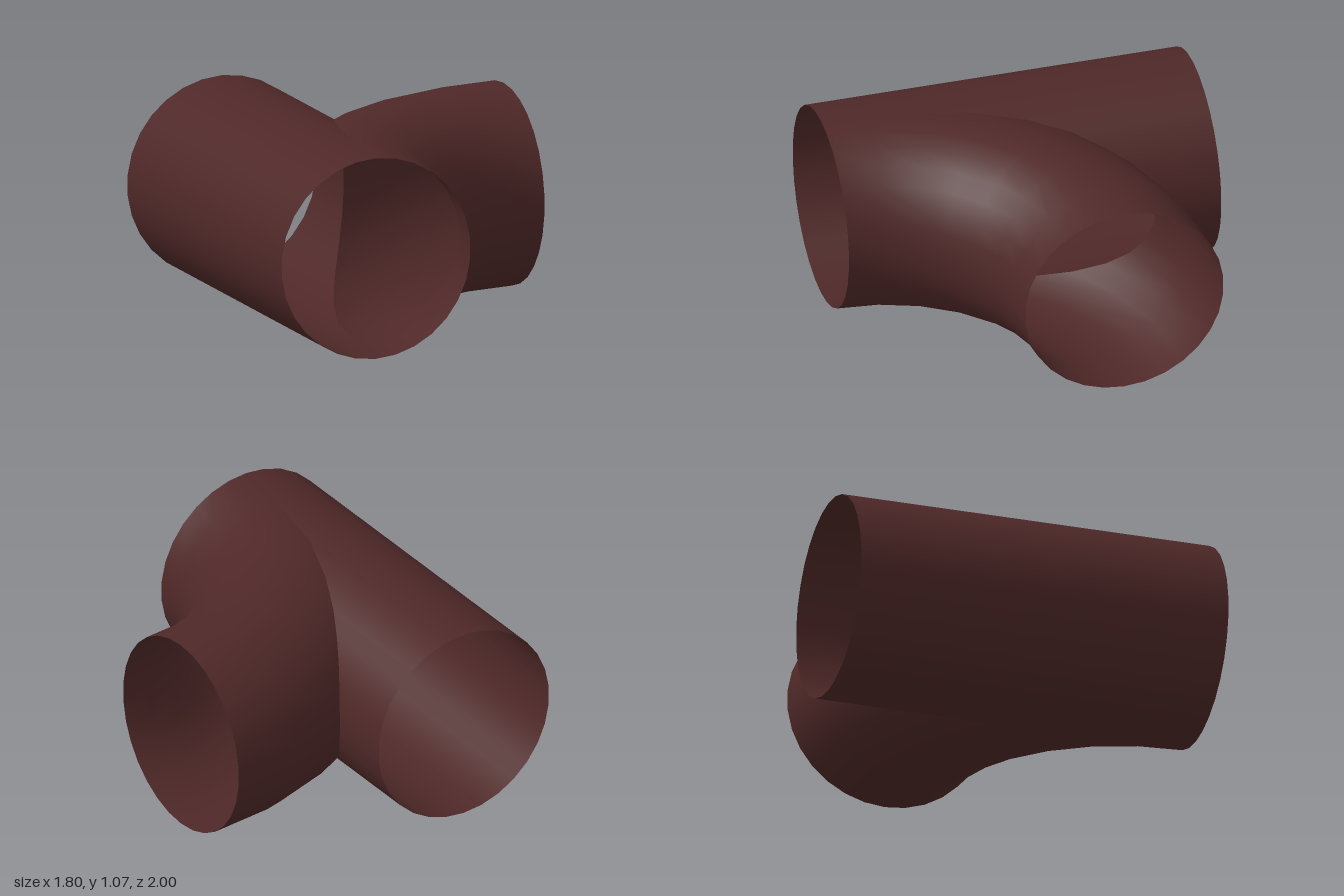
import * as THREE from 'three';

const R = 1.27;        // bend centre-line radius, swung about x = 0.9, z = 1
const r = 0.533;       // pipe radius
const AXIS_X = -0.37;  // axis of the straight pipe
const SIDES = 30, BENDS = 7;

// Smooth grid surface; at(theta, v) returns [position, normal], theta running round the pipe
function surface(rows, at) {
  const pos = [], nor = [], idx = [];
  for (let i = 0; i <= SIDES; i++) {
    const theta = (i + 0.5) * 2 * Math.PI / SIDES;
    for (let j = 0; j <= rows; j++) {
      const [p, n] = at(theta, j / rows);
      pos.push(...p);
      nor.push(...n);
      if (i < SIDES && j < rows) {
        const a = i * (rows + 1) + j, b = a + rows + 1;
        idx.push(a, b, b + 1, a, b + 1, a + 1);
      }
    }
  }
  const g = new THREE.BufferGeometry();
  g.setAttribute('position', new THREE.Float32BufferAttribute(pos, 3));
  g.setAttribute('normal', new THREE.Float32BufferAttribute(nor, 3));
  g.setIndex(idx);
  return g;
}

export function createModel() {
  const group = new THREE.Group();
  group.name = 'pipeJunction';
  const maroon = new THREE.MeshStandardMaterial({ color: 0x4f2828, side: THREE.DoubleSide });
  maroon.name = 'dark maroon';

  // Straight pipe: its branch side stops where it meets the bend
  const straight = surface(4, (t, v) => {
    const c = Math.cos(t), s = Math.sin(t);
    const end = 1 - 2 * Math.sqrt(R * r * Math.max(0, c));
    return [[AXIS_X + r * c, r + r * s, -1 + v * (end + 1)], [c, s, 0]];
  });

  // Curved branch: its outer side starts where it leaves the straight pipe
  const bend = surface(BENDS, (t, v) => {
    const c = Math.cos(t), s = Math.sin(t);
    const k = r * Math.max(0, -c);
    const phi = Math.max(Math.acos((R - k) / (R + k)), (1 - v) * Math.PI / 2);
    const cp = Math.cos(phi), sp = Math.sin(phi), rho = R - r * c;
    return [[0.9 - rho * cp, r + r * s, 1 - rho * sp], [c * cp, s, c * sp]];
  });

  for (const [name, geometry] of [['straightPipe', straight], ['curvedBranch', bend]]) {
    const mesh = new THREE.Mesh(geometry, maroon);
    mesh.name = name;
    group.add(mesh);
  }
  return group;
}
